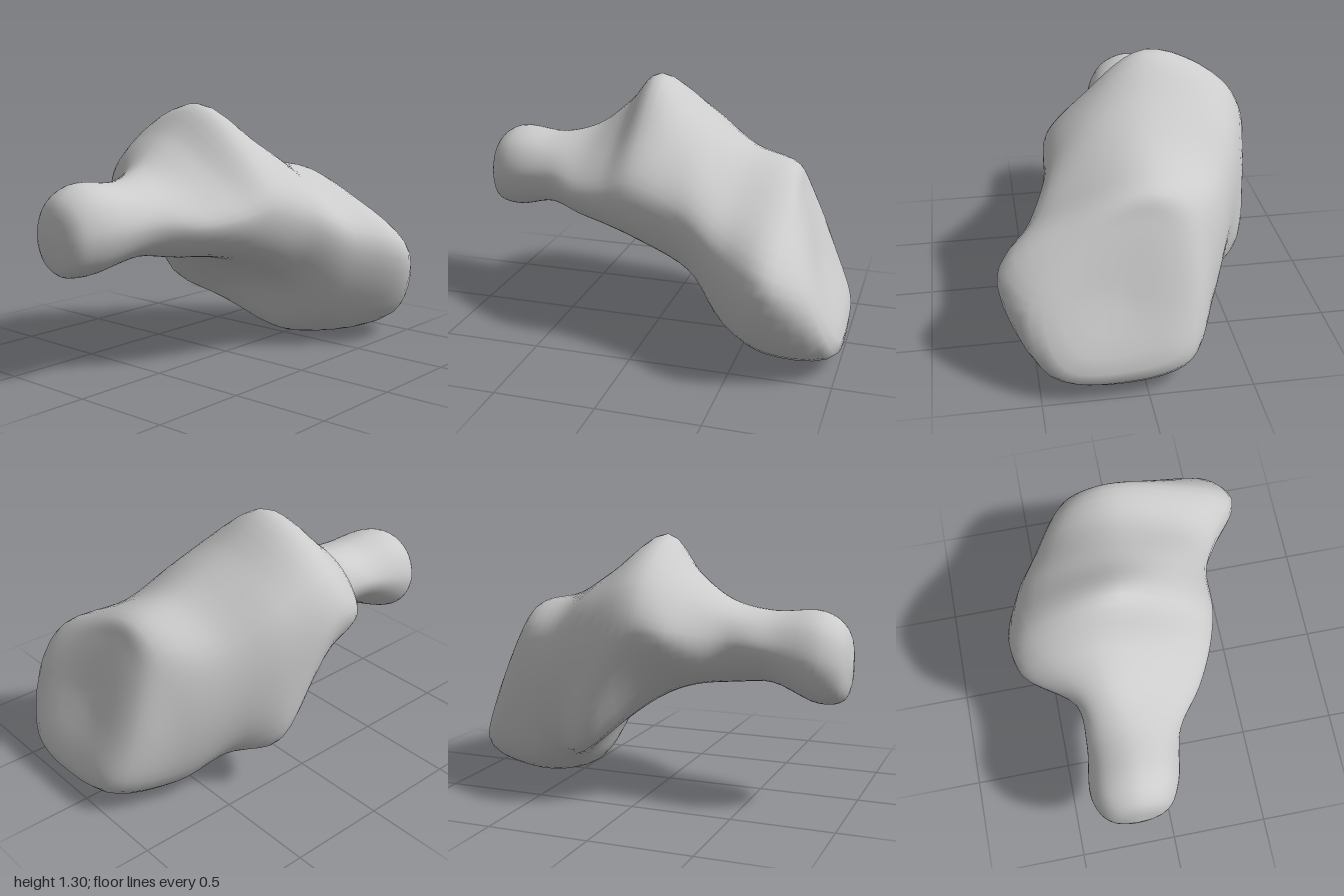
import * as THREE from 'three';
import { mergeVertices } from 'three/addons/utils/BufferGeometryUtils.js';

const AROUND = 48, STEPS = 5;

// Cross-section of 8 (z, y) points: top, front, bottom, back and the corners between.
// Its plane stands at x when y = 0.6 and leans along x with height.
function ring(x, lean, zy) {
  return zy.map(([z, y]) => new THREE.Vector3(x + lean * (y - 0.6), y, z));
}

// Plain elliptical cross-section
function oval(x, cy, cz, ry, rz) {
  const zy = [];
  for (let i = 0; i < 8; i++) {
    const a = (i / 8) * Math.PI * 2;
    zy.push([cz + rz * Math.sin(a), cy + ry * Math.cos(a)]);
  }
  return ring(x, 0, zy);
}

// Smooth skin through all cross-sections
function loft(rings) {
  const loops = rings.map(r => {
    const curve = new THREE.CatmullRomCurve3(r, true);
    return Array.from({ length: AROUND }, (_, i) => r[0].equals(r[1]) ? r[0] : curve.getPoint(i / AROUND));
  });
  const rows = (rings.length - 1) * STEPS;
  const pos = [], index = [];
  for (let i = 0; i < AROUND; i++) {
    const rail = new THREE.CatmullRomCurve3(loops.map(l => l[i]));
    for (let j = 0; j <= rows; j++) pos.push(...rail.getPoint(j / rows).toArray());
  }
  for (let i = 0; i < AROUND; i++) {
    for (let j = 0; j < rows; j++) {
      const a = i * (rows + 1) + j, b = ((i + 1) % AROUND) * (rows + 1) + j;
      if (j > 0) index.push(a, b, a + 1);
      if (j < rows - 1) index.push(b, b + 1, a + 1);
    }
  }
  const geometry = new THREE.BufferGeometry();
  geometry.setAttribute('position', new THREE.Float32BufferAttribute(pos, 3));
  geometry.setIndex(index);
  const merged = mergeVertices(geometry, 1e-5);
  merged.computeVertexNormals();
  return merged;
}

export function createModel() {
  const group = new THREE.Group();
  group.name = 'boneBlob';

  // Rounded arm, widening low at the front where it meets the middle
  const arm = [
    oval(-1, 0.71, -0.2, 0, 0),
    oval(-0.96, 0.715, -0.19, 0.17, 0.15),
    oval(-0.85, 0.74, -0.185, 0.22, 0.215),
    ring(-0.6, 0, [[-0.17, 0.95], [0, 0.89], [0.09, 0.76], [0.03, 0.63], [-0.12, 0.59], [-0.29, 0.66], [-0.375, 0.79], [-0.31, 0.9]]),
    ring(-0.4, 0, [[-0.22, 1.0], [0.03, 0.91], [0.23, 0.75], [0.14, 0.61], [-0.08, 0.57], [-0.3, 0.66], [-0.39, 0.81], [-0.35, 0.94]]),
  ];

  // Peaked middle, with the lobe at the back and a nub below it
  const middle = [
    ring(-0.22, 0, [[-0.23, 1.14], [0.08, 0.98], [0.32, 0.78], [0.23, 0.6], [-0.07, 0.55], [-0.41, 0.64], [-0.62, 0.86], [-0.5, 1.05]]),
    ring(-0.05, 0, [[-0.15, 1.3], [0.15, 1.09], [0.37, 0.82], [0.27, 0.56], [-0.03, 0.5], [-0.45, 0.55], [-0.66, 0.87], [-0.55, 1.11]]),
    ring(0.22, -0.05, [[-0.12, 1.13], [0.2, 1.0], [0.4, 0.73], [0.27, 0.42], [0, 0.34], [-0.56, 0.29], [-0.61, 0.64], [-0.52, 1.0]]),
  ];

  // Broad foot with its slanted end face
  const foot = [
    ring(0.44, 0.05, [[-0.08, 0.98], [0.25, 0.85], [0.51, 0.6], [0.36, 0.22], [0.02, 0.06], [-0.4, 0.22], [-0.5, 0.52], [-0.42, 0.84]]),
    ring(0.69, 0.05, [[-0.05, 0.91], [0.3, 0.79], [0.66, 0.53], [0.48, 0.13], [0, 0], [-0.3, 0.11], [-0.38, 0.43], [-0.27, 0.8]]),
    ring(0.83, -0.36, [[0, 0.8], [0.3, 0.67], [0.53, 0.45], [0.43, 0.15], [0.1, 0.1], [-0.18, 0.17], [-0.23, 0.39], [-0.17, 0.7]]),
    oval(0.87, 0.49, 0.12, 0, 0),
  ];

  const body = new THREE.Mesh(
    loft([...arm, ...middle, ...foot]),
    new THREE.MeshStandardMaterial({ color: 0xcccccc })
  );
  body.name = 'body';
  group.add(body);
  return group;
}
